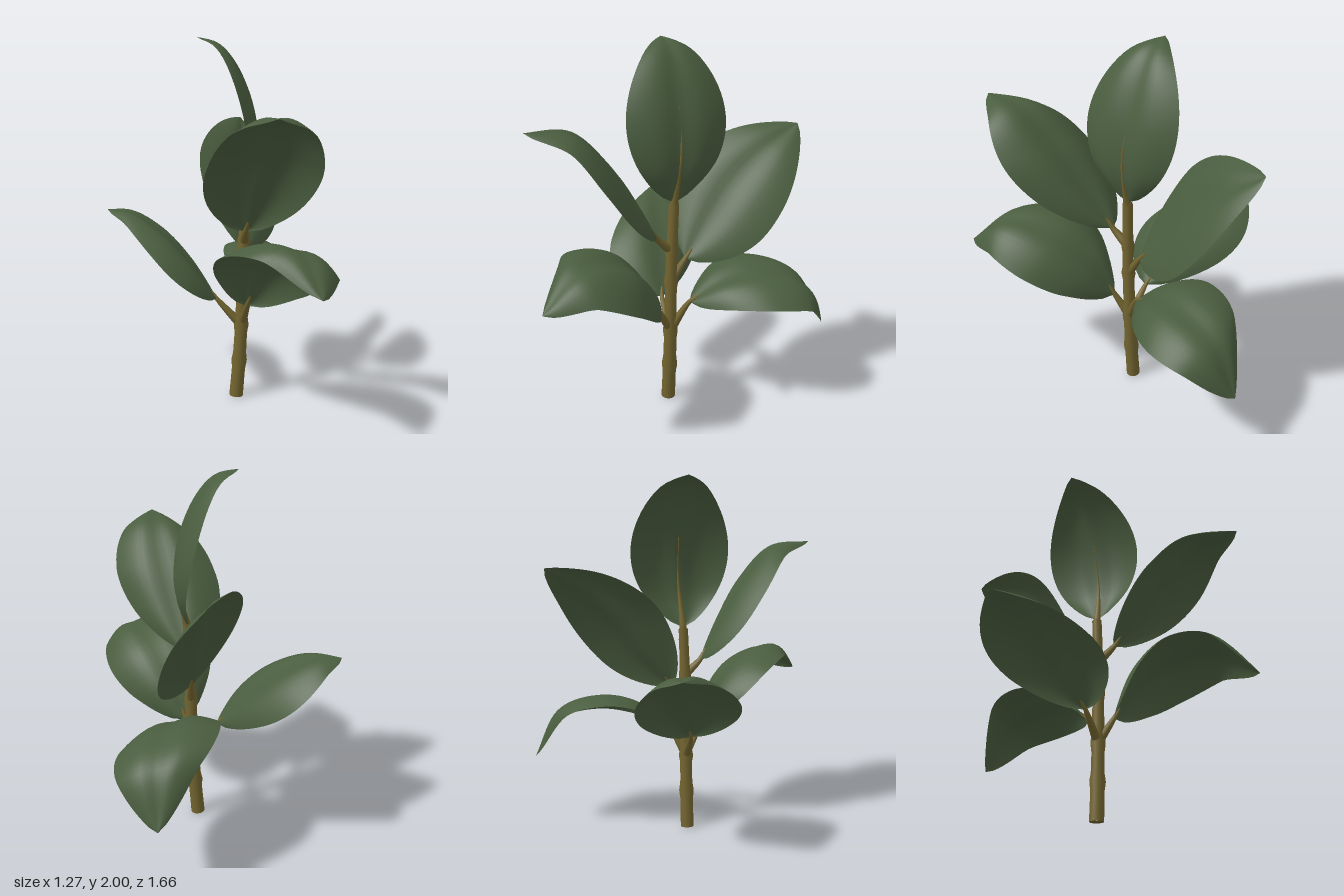
import * as THREE from 'three';

const leafGreen = new THREE.MeshStandardMaterial({ color: 0x4a5d3f, side: THREE.DoubleSide });
leafGreen.name = 'leaf green';
const barkBrown = new THREE.MeshStandardMaterial({ color: 0x736530 });
barkBrown.name = 'bark brown';

const toCurve = (pts) => new THREE.CatmullRomCurve3(pts.map((p) => new THREE.Vector3(...p)));

// Tube whose radius follows a function of its length
function taperedTube(name, curve, radius, segments, sides) {
  const geo = new THREE.TubeGeometry(curve, segments, 1, sides);
  const pos = geo.attributes.position;
  const v = new THREE.Vector3();
  for (let i = 0; i <= segments; i++) {
    const c = curve.getPointAt(i / segments);
    for (let j = 0; j <= sides; j++) {
      const k = i * (sides + 1) + j;
      v.fromBufferAttribute(pos, k).sub(c).multiplyScalar(radius(i / segments)).add(c);
      pos.setXYZ(k, v.x, v.y, v.z);
    }
  }
  const mesh = new THREE.Mesh(geo, barkBrown);
  mesh.name = name;
  return mesh;
}

// Blade swept along its midrib: oval outline, raised halves beside the rib, drooping edges
function blade(curve, side, droop) {
  const rows = 30, cols = 16, crest = 0.028;
  const across = new THREE.Vector3(...side);
  const pos = [], index = [];
  for (let i = 0; i <= rows; i++) {
    const t = i / rows;
    const normal = new THREE.Vector3().crossVectors(curve.getTangentAt(t), across).normalize();
    const width = Math.pow(Math.max(Math.sin(Math.PI * t ** 0.87), 0), 0.77);
    for (let j = 0; j <= cols; j++) {
      const u = (j / cols) * 2 - 1;
      const lift = crest * (1 - Math.exp(-12 * u * u)) - droop * u * u;
      const p = curve.getPointAt(t)
        .addScaledVector(across, width * u)
        .addScaledVector(normal, lift * width);
      pos.push(p.x, p.y, p.z);
      if (i < rows && j < cols) {
        const a = i * (cols + 1) + j, b = a + cols + 1;
        index.push(a, b, a + 1, b, b + 1, a + 1);
      }
    }
  }
  const geo = new THREE.BufferGeometry();
  geo.setAttribute('position', new THREE.Float32BufferAttribute(pos, 3));
  geo.setIndex(index);
  geo.computeVertexNormals();
  const mesh = new THREE.Mesh(geo, leafGreen);
  mesh.name = 'blade';
  return mesh;
}

// Each leaf: joint on the stem, midrib points, half-width vector, edge droop, share of midrib that is brown
const leaves = [
  { name: 'lowerRightLeaf', joint: [0.14, 0.43, 0.01], side: [0.03, 0, 0.295], droop: 0.12, rib: 0.07,
    mid: [[0.01, 0.57, 0], [-0.14, 0.76, -0.06], [-0.31, 0.92, -0.125], [-0.49, 1.02, -0.18], [-0.635, 1.03, -0.22]] },
  { name: 'lowerBackLeaf', joint: [0.15, 0.43, 0.01], side: [-0.26, 0.07, -0.02], droop: 0.09, rib: 0.07,
    mid: [[0.2, 0.6, -0.08], [0.26, 0.72, -0.25], [0.32, 0.76, -0.45], [0.37, 0.69, -0.68], [0.38, 0.42, -0.83]] },
  { name: 'lowerFrontLeaf', joint: [0.15, 0.43, 0.01], side: [0.28, -0.08, -0.05], droop: 0.14, rib: 0.07,
    mid: [[0.18, 0.56, 0.09], [0.25, 0.78, 0.2], [0.34, 0.94, 0.37], [0.45, 0.99, 0.62], [0.53, 0.83, 0.83]] },
  { name: 'upperBackLeaf', joint: [0.155, 0.72, 0.01], side: [-0.225, 0.15, 0.14], droop: 0.05, rib: 0.07,
    mid: [[0.16, 0.84, -0.07], [0.15, 1.03, -0.22], [0.14, 1.23, -0.38], [0.14, 1.41, -0.58], [0.12, 1.52, -0.77]] },
  { name: 'upperFrontLeaf', joint: [0.16, 0.9, 0.01], side: [0.285, 0, 0.045], droop: 0.12, rib: 0.07,
    mid: [[0.17, 0.98, 0.1], [0.22, 1.19, 0.23], [0.275, 1.42, 0.39], [0.31, 1.61, 0.59], [0.32, 1.64, 0.82]] },
  { name: 'topLeaf', joint: [0.165, 1.1, 0], side: [0, 0, 0.28], droop: 0.07, rib: 0.53,
    mid: [[0.172, 1.17, 0], [0.222, 1.36, -0.01], [0.195, 1.62, -0.02], [0.1, 1.86, -0.03], [0.01, 1.965, -0.035], [-0.1, 2.0, -0.04]] },
];

export function createModel() {
  const plant = new THREE.Group();
  plant.name = 'leafySprig';

  // Stem with swollen nodes where stalks join
  const bump = (u, at) => 0.007 * Math.exp(-(((u - at) / 0.025) ** 2));
  const stemRadius = (u) =>
    u >= 1 ? 0.001 : 0.039 - 0.012 * u + bump(u, 0.18) + bump(u, 0.36) + bump(u, 0.61) + bump(u, 0.76);
  const stemCurve = toCurve([[0.122, 0, 0.01], [0.14, 0.25, 0.01], [0.15, 0.5, 0.01], [0.156, 0.8, 0.01], [0.167, 1.18, 0]]);
  plant.add(taperedTube('stem', stemCurve, stemRadius, 60, 12));

  // Flat cut at the foot of the stem
  const cut = new THREE.Mesh(new THREE.CircleGeometry(0.039, 12), barkBrown);
  cut.rotation.x = Math.PI / 2;
  cut.position.set(0.122, 0.002, 0.01);
  cut.name = 'stemCut';
  plant.add(cut);

  for (const { name, joint, mid, side, droop, rib } of leaves) {
    const leaf = new THREE.Group();
    leaf.name = name;
    const midrib = toCurve(mid);
    // Stalk thinning out into the midrib
    const stalk = new THREE.CatmullRomCurve3([
      new THREE.Vector3(...joint), midrib.getPointAt(0), midrib.getPointAt(rib / 2), midrib.getPointAt(rib),
    ]);
    const thin = rib > 0.3 ? 2 : 0.6;
    leaf.add(taperedTube('stalk', stalk, (u) => 0.025 * (1 - u) ** thin + 0.002, 24, 8));
    leaf.add(blade(midrib, side, droop));
    plant.add(leaf);
  }
  return plant;
}
